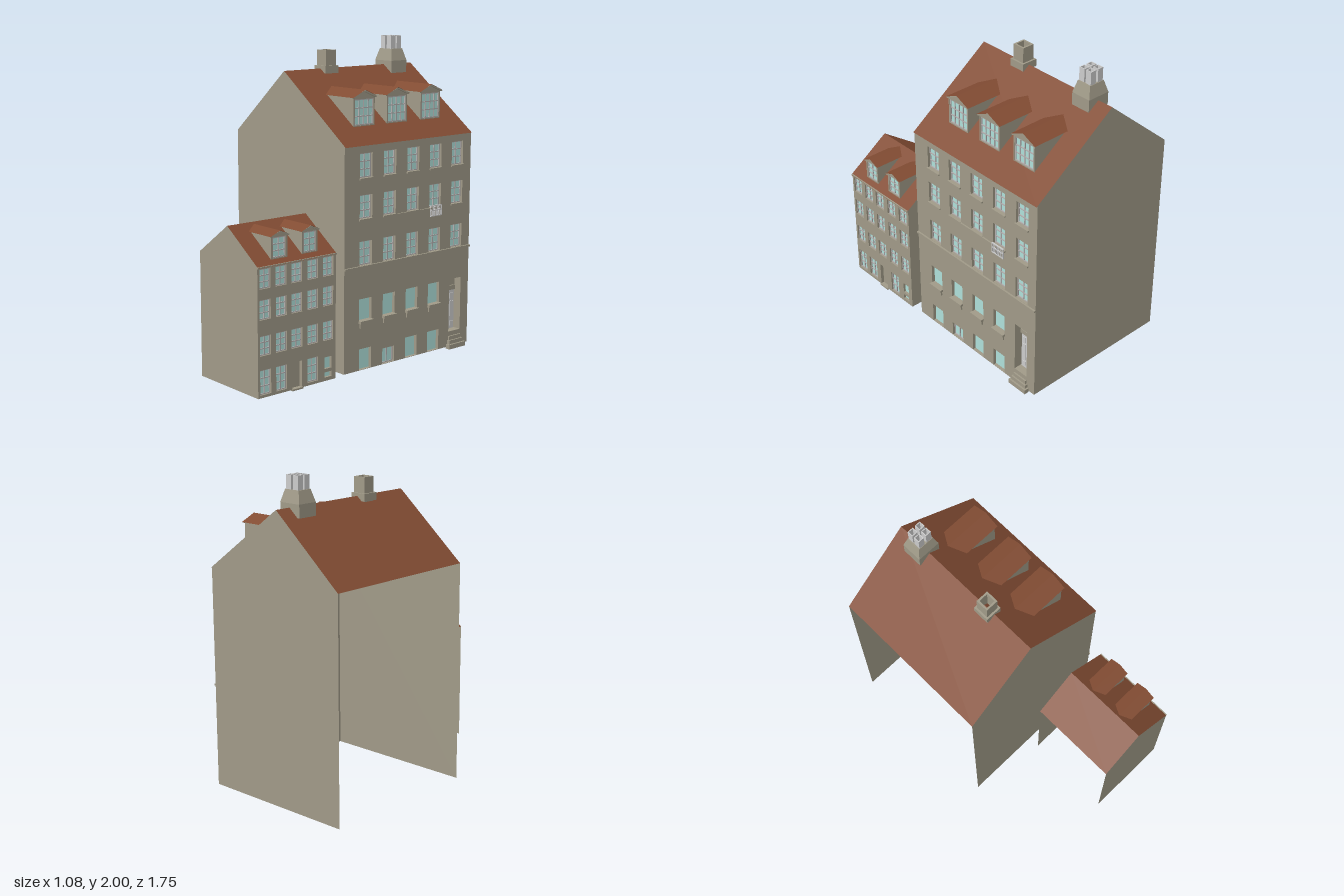
import * as THREE from 'three';

const mat = (color) => new THREE.MeshStandardMaterial({ color, side: THREE.DoubleSide, flatShading: true });
const wall = mat(0xa09a88), tile = mat(0x824c33), glass = mat(0xafe0da), paint = mat(0xc4c4c8), frameMat = mat(0xb4b0b0);

function add(parent, name, geo, material) {
  const m = new THREE.Mesh(geo, material);
  m.name = name;
  parent.add(m);
  return m;
}

// box given by its limits
function box(parent, name, x0, x1, y0, y1, z0, z1, material) {
  const g = new THREE.BoxGeometry(x1 - x0, y1 - y0, z1 - z0);
  g.translate((x0 + x1) / 2, (y0 + y1) / 2, (z0 + z1) / 2);
  return add(parent, name, g, material);
}

// flat convex panel through 3 or 4 corners
function panel(parent, name, pts, material) {
  const g = new THREE.BufferGeometry();
  g.setAttribute('position', new THREE.Float32BufferAttribute(pts.flat(), 3));
  g.setIndex(pts.length === 4 ? [0, 1, 2, 0, 2, 3] : [0, 1, 2]);
  g.computeVertexNormals();
  return add(parent, name, g, material);
}

const shapeOf = (pts) => new THREE.Shape(pts.map(([x, y]) => new THREE.Vector2(x, y)));
const rect = (a, b, c, d) => [[a, b], [c, b], [c, d], [a, d]];

function extrude(outline, holes, depth) {
  const s = shapeOf(outline);
  holes.forEach((h) => s.holes.push(shapeOf(h)));
  return new THREE.ExtrudeGeometry(s, { depth, bevelEnabled: false });
}

// group whose local x runs along -z and local z along +x, for the street side
function streetSide(parent, name) {
  const g = new THREE.Group();
  g.name = name;
  g.rotation.y = Math.PI / 2;
  parent.add(g);
  return g;
}

// glass with an outer frame and glazing bars; z is the glass plane
function glazing(parent, [u0, v0, u1, v1], z, cols, rows) {
  const g = new THREE.Group();
  g.name = 'window';
  parent.add(g);
  box(g, 'glass', u0, u1, v0, v1, z - 0.004, z, glass);
  if (!cols) return;
  const t = 0.003;
  for (let i = 0; i <= cols; i++) {
    const u = THREE.MathUtils.lerp(u0 + t, u1 - t, i / cols);
    box(g, 'uprightBar', u - t, u + t, v0, v1, z, z + 0.006, frameMat);
  }
  for (let i = 0; i <= rows; i++) {
    const v = THREE.MathUtils.lerp(v0 + t, v1 - t, i / rows);
    box(g, 'crossBar', u0, u1, v - t, v + t, z, z + 0.006, frameMat);
  }
}

// gable walls and two roof slopes; the rear side is left open
function shell(parent, { xb, xf, xr, eave, ridge, z0, z1, over }) {
  for (const z of [z0, z1]) {
    const g = new THREE.ShapeGeometry(shapeOf([[xb, 0.01], [xf, 0.01], [xf, eave], [xr, ridge], [xb, eave]]));
    add(parent, 'gableWall', g.translate(0, 0, z), wall);
  }
  const drop = over * (ridge - eave) / (xf - xr);
  panel(parent, 'frontRoof', [[xr, ridge, z1], [xf + over, eave - drop, z1], [xf + over, eave - drop, z0], [xr, ridge, z0]], tile);
  panel(parent, 'rearRoof', [[xr, ridge, z0], [xb, eave, z0], [xb, eave, z1], [xr, ridge, z1]], tile);
}

// dormer set into the front slope
function dormer(parent, house, { z, hw, x, ye, yr, pane, cols, rows, out }) {
  const g = new THREE.Group();
  g.name = 'dormer';
  g.position.z = z;
  parent.add(g);
  const { xf, xr, eave, ridge } = house;
  const slope = (ridge - eave) / (xf - xr);
  const roofX = (y) => xr + (ridge - y) / slope;
  const yb = ridge - (x - xr) * slope;
  const face = streetSide(g, 'dormerFront');
  const [a, b, c, d] = pane;
  const front = extrude([[-hw, yb], [hw, yb], [hw, ye], [0, yr - 0.004], [-hw, ye]], [rect(a, b, c, d)], 0.015);
  add(face, 'dormerWall', front.translate(0, 0, x - 0.015), wall);
  glazing(face, pane, x - 0.01, cols, rows);
  const w = hw + out, k = 0.012;
  const trim = extrude([[-w, ye], [-w + k, ye - k / 2], [0, yr - k], [w - k, ye - k / 2], [w, ye], [0, yr - 0.002]], [], 0.01);
  add(face, 'dormerTrim', trim.translate(0, 0, x), wall);
  for (const s of [-1, 1]) {
    panel(g, 'dormerCheek', [[roofX(ye), ye, s * hw], [x, ye, s * hw], [x, yb, s * hw]], wall);
    panel(g, 'dormerRoof', [[roofX(yr), yr, 0], [x + 0.011, yr, 0], [x + 0.011, ye, s * w], [roofX(ye), ye, s * w]], tile);
  }
}

// upright square tube
function tube(parent, name, cx, cz, half, thick, y0, y1, material) {
  const i = half - thick;
  const g = extrude(rect(-half, -half, half, half), [rect(-i, -i, i, i)], y1 - y0);
  add(parent, name, g.rotateX(-Math.PI / 2).translate(cx, y0, cz), material);
}

function tallHouse() {
  const g = new THREE.Group();
  g.name = 'tallHouse';
  const h = { xb: -0.54, xf: 0.505, xr: -0.06, eave: 1.405, ridge: 1.815, z0: -0.875, z1: 0.205, over: 0.008 };
  shell(g, h);
  const f = streetSide(g, 'facade'), X = h.xf, back = X - 0.022;
  const cols = [-0.032, 0.164, 0.361, 0.557, 0.753], hw = 0.051;
  const holes = [];
  // three upper floors
  [[1.204, 1.353], [0.955, 1.1], [0.668, 0.817]].forEach(([v0, v1], row) => cols.forEach((u, i) => {
    const r = [u - hw, v0, u + hw, v1];
    holes.push(r);
    glazing(f, r, back, 2, 3);
    if (row < 2) box(f, 'sill', u - hw - 0.005, u + hw + 0.005, v0 - 0.01, v0, X - 0.01, X + 0.01, wall);
  }));
  box(f, 'longSill', 0.11, 0.52, 0.945, 0.953, X - 0.01, X + 0.01, wall);
  box(f, 'beltCourse', -0.205, 0.875, 0.655, 0.667, X - 0.01, X + 0.012, wall);
  // ground floor and basement
  cols.slice(0, 4).forEach((u, i) => {
    const r = [u - hw, 0.324, u + hw, 0.46];
    const low = [u - hw, 0.012, u + hw, i === 1 ? 0.112 : 0.145];
    holes.push(r, low);
    glazing(f, r, back, 0);
    glazing(f, low, back, i === 1 ? 2 : 0, 1);
    box(f, 'upperLedge', u - 0.054, u + 0.054, 0.308, 0.324, X - 0.01, X + 0.02, wall);
    box(f, 'lowerLedge', u - 0.047, u + 0.047, 0.277, 0.308, X - 0.01, X + 0.01, wall);
  });
  // recessed entrance
  const d = 0.753, dx = X - 0.06;
  holes.push([d - 0.053, 0.012, d + 0.053, 0.46]);
  for (const s of [-1, 1]) {
    const e = d + s * 0.053;
    box(f, 'doorJamb', Math.min(e, e + s * 0.004), Math.max(e, e + s * 0.004), 0.01, 0.46, dx - 0.01, X - 0.001, wall);
    const c = d + s * 0.024;
    box(f, 'doorLeaf', c - 0.023, c + 0.023, 0.11, 0.368, dx, dx + 0.008, paint);
    for (const [v0, v1] of [[0.13, 0.16], [0.175, 0.295], [0.31, 0.35]])
      box(f, 'doorPanel', c - 0.015, c + 0.015, v0, v1, dx + 0.008, dx + 0.012, paint);
  }
  box(f, 'doorHead', d - 0.053, d + 0.053, 0.46, 0.464, dx - 0.01, X - 0.001, wall);
  box(f, 'overdoor', d - 0.053, d + 0.053, 0.368, 0.46, dx - 0.005, dx + 0.006, wall);
  box(f, 'transom', d - 0.053, d + 0.053, 0.37, 0.4, dx, dx + 0.014, wall);
  [[0.053, 0.08, 0.11, 0], [0.053, 0.055, 0.08, 0.01], [0.062, 0.03, 0.055, 0.02], [0.073, 0, 0.03, 0.032]].forEach(
    ([w, y0, y1, out]) => box(f, 'step', d - w, d + w, y0, y1, out > 0.015 ? X - 0.002 : dx, X + out, wall));
  const wallGeo = extrude(rect(-0.205, 0.01, 0.875, h.eave), holes.map((r) => rect(...r)), 0.03);
  add(f, 'facadeWall', wallGeo.translate(0, 0, X - 0.03), wall);
  // small balcony rail
  const b = cols[3];
  for (const v of [0.9, 0.935, 0.965]) box(f, 'balconyRail', b - 0.05, b + 0.05, v - 0.003, v + 0.003, X + 0.006, X + 0.014, paint);
  for (let i = 0; i <= 8; i++) {
    const u = b - 0.048 + i * 0.012;
    box(f, 'balconyBar', u - 0.002, u + 0.002, 0.898, 0.968, X + 0.007, X + 0.013, paint);
  }
  // dormers
  for (const z of [-0.062, -0.336, -0.628])
    dormer(g, h, { z, hw: 0.086, x: 0.38, ye: 1.672, yr: 1.716, pane: [-0.077, 1.502, 0.077, 1.66], cols: 4, rows: 3, out: 0.013 });
  // plain chimney
  tube(g, 'chimneyBase', -0.065, -0.143, 0.054, 0.02, 1.785, 1.832, wall);
  tube(g, 'chimneyStack', -0.065, -0.143, 0.042, 0.012, 1.78, 1.93, wall);
  // large chimney with four flues
  const cx = -0.062, cz = -0.7;
  box(g, 'largeChimneyBase', cx - 0.077, cx + 0.077, 1.76, 1.84, cz - 0.067, cz + 0.067, wall);
  const taper = new THREE.CylinderGeometry(0.055 * Math.SQRT2, 0.077 * Math.SQRT2, 0.076, 4, 1);
  taper.rotateY(Math.PI / 4).scale(1, 1, 0.88).translate(cx, 1.878, cz);
  add(g, 'chimneyTaper', taper, wall);
  for (const sx of [-1, 1]) for (const sz of [-1, 1]) {
    const fx = cx + sx * 0.028, fz = cz + sz * 0.026;
    tube(g, 'flue', fx, fz, 0.02, 0.005, 1.9, 2, paint);
    box(g, 'flueInside', fx - 0.015, fx + 0.015, 1.9, 1.92, fz - 0.015, fz + 0.015, tile);
  }
  return g;
}

function smallHouse() {
  const g = new THREE.Group();
  g.name = 'smallHouse';
  const h = { xb: -0.035, xf: 0.52, xr: 0.24, eave: 0.785, ridge: 0.98, z0: 0.285, z1: 0.872, over: 0.01 };
  shell(g, h);
  const f = streetSide(g, 'facade'), X = h.xf, back = X - 0.016;
  const cols = [-0.817, -0.7, -0.584, -0.463, -0.345], hw = 0.04;
  const holes = [];
  const win = (r, c, n) => { holes.push(r); glazing(f, r, back, c, n); };
  for (const [v0, v1] of [[0.653, 0.77], [0.472, 0.589], [0.26, 0.377]])
    for (const u of cols) win([u - hw, v0, u + hw, v1], 2, 3);
  for (const i of [0, 1, 3]) win([cols[i] - hw, 0.027, cols[i] + hw, 0.175], 2, 3);
  win([cols[4] - 0.027, 0.085, cols[4] + 0.027, 0.157], 0);
  win([cols[4] - 0.027, 0.032, cols[4] + 0.027, 0.064], 0);
  // plain recessed door with a low step
  const d = cols[2];
  holes.push([d - 0.037, 0.012, d + 0.037, 0.175]);
  box(f, 'door', d - 0.037, d + 0.037, 0.012, 0.175, X - 0.03, X - 0.022, wall);
  box(f, 'doorStep', d - 0.04, d + 0.04, 0.004, 0.014, X - 0.03, X + 0.008, wall);
  const wallGeo = extrude(rect(-h.z1, 0.01, -h.z0, h.eave), holes.map((r) => rect(...r)), 0.025);
  add(f, 'facadeWall', wallGeo.translate(0, 0, X - 0.025), wall);
  box(f, 'cornice', -h.z1, -h.z0, 0.774, 0.784, X - 0.01, X + 0.009, wall);
  for (const z of [0.689, 0.461])
    dormer(g, h, { z, hw: 0.06, x: 0.49, ye: 0.94, yr: 0.97, pane: [-0.047, 0.812, 0.047, 0.932], cols: 2, rows: 3, out: 0.011 });
  return g;
}

export function createModel() {
  const group = new THREE.Group();
  group.name = 'townHouses';
  group.add(tallHouse(), smallHouse());
  return group;
}
